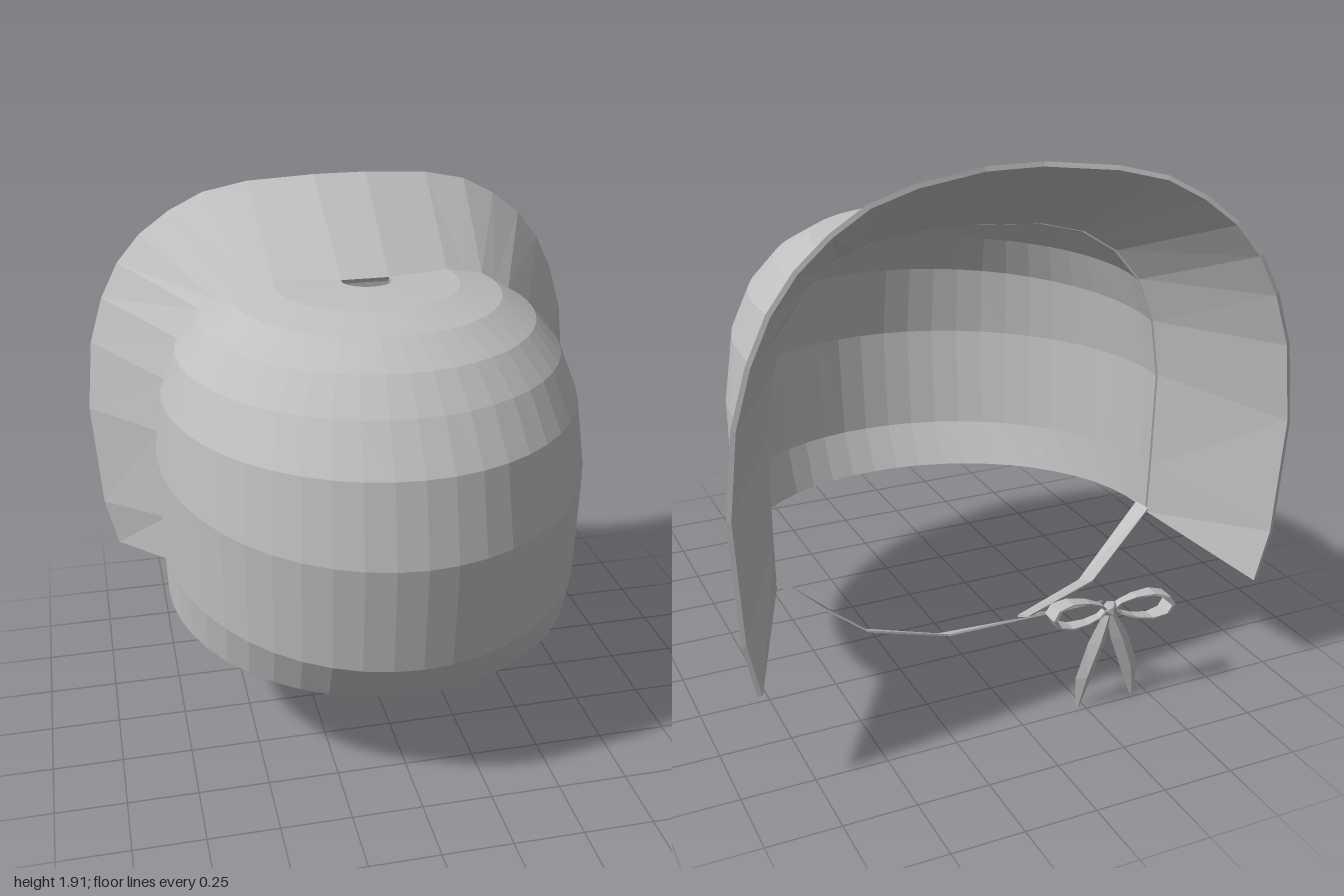
import * as THREE from 'three';

const V = (x, y, z) => new THREE.Vector3(x, y, z);

// Lofts a solid through equal cross-section rings, with flat facets
function loft(sections, closed = false) {
  const n = sections[0].length, m = sections.length;
  const tris = [];
  const quad = (a, b, c, d) => tris.push([a, b, c], [a, c, d]);
  for (let i = 0; i < (closed ? m : m - 1); i++) {
    const s = sections[i], t = sections[(i + 1) % m];
    for (let j = 0; j < n; j++) quad(s[j], s[(j + 1) % n], t[(j + 1) % n], t[j]);
  }
  if (!closed) {
    const s = sections[0], t = sections[m - 1];
    for (let j = 0; j < n / 2 - 1; j++) {
      quad(s[n - 1 - j], s[n - 2 - j], s[j + 1], s[j]);
      quad(t[j], t[j + 1], t[n - 2 - j], t[n - 1 - j]);
    }
  }
  // Turn the solid outward if its signed volume is negative
  let volume = 0;
  for (const [a, b, c] of tris) volume += a.dot(b.clone().cross(c));
  const pos = [];
  for (const [a, b, c] of tris)
    for (const p of volume < 0 ? [a, c, b] : [a, b, c]) pos.push(p.x, p.y, p.z);
  const g = new THREE.BufferGeometry();
  g.setAttribute('position', new THREE.Float32BufferAttribute(pos, 3));
  g.computeVertexNormals();
  return g;
}

// Crown rings: side radius, front radius, height at the front, height at the face opening
const RINGS = [
  [0.77, 0.77, 0.40, 0.49], [0.775, 0.865, 0.56, 0.68], [0.78, 0.91, 0.96, 1.04],
  [0.75, 0.855, 1.25, 1.25], [0.69, 0.74, 1.41, 1.41], [0.60, 0.63, 1.52, 1.52],
  [0.48, 0.49, 1.595, 1.595], [0.33, 0.33, 1.63, 1.63], [0.09, 0.09, 1.64, 1.635],
];
const CENTRE_Z = -0.13, OVERLAP = Math.PI / 12;

function crownPoint(k, angle, inset = 0) {
  const [rx, rz, yFront, yEdge] = RINGS[k];
  const s = Math.sin(angle), low = -Math.sin(OVERLAP) * rx;
  const shrink = k === RINGS.length - 1 ? 0 : inset;
  const z = s > 0 ? s * (rz - shrink) : s * (rx - shrink);
  const t = (rz - z) / (rz - low);
  const y = yFront + (yEdge - yFront) * t - inset * k / (RINGS.length - 1);
  return V(Math.cos(angle) * (rx - shrink), y, CENTRE_Z + z);
}

function crownGeometry() {
  const sections = [], steps = 28;
  for (let i = 0; i <= steps; i++) {
    const a = -OVERLAP + (Math.PI + 2 * OVERLAP) * i / steps;
    const outer = RINGS.map((_, k) => crownPoint(k, a));
    const inner = RINGS.map((_, k) => crownPoint(k, a, 0.018));
    sections.push([...outer, ...inner.reverse()]);
  }
  return loft(sections);
}

// Flared brim: each rim point is joined to a position along the crown edge
function brimGeometry() {
  const rim = [
    [0, 0.93, 0.37], [1, 0.975, 0.56], [2, 1.0, 0.98], [3, 0.97, 1.26], [4, 0.915, 1.44],
    [5, 0.845, 1.58], [5.5, 0.755, 1.69], [6, 0.64, 1.78], [6.5, 0.51, 1.85],
    [7, 0.345, 1.89], [8, 0.1, 1.913],
  ];
  const half = rim.map(([k, x, y]) => {
    const root = crownPoint(Math.floor(k), -OVERLAP)
      .lerp(crownPoint(Math.ceil(k), -OVERLAP), k % 1);
    const edge = V(x, y, -0.6 - 0.19 * (x - 0.1));
    const inward = V(-x, Math.min(0, 0.95 - y), -0.3).normalize().multiplyScalar(0.016);
    return [root, edge, edge.clone().add(inward), root.clone().add(inward)];
  });
  const mirrored = half.map(s => s.map(p => V(-p.x, p.y, p.z))).reverse();
  return loft([...half, ...mirrored]);
}

// Ribbon strip from pairs of edge points, given a small thickness
function ribbonGeometry(pairs, thickness = V(0, 0.008, 0)) {
  return loft(pairs.map(([a, b]) => [
    V(...a), V(...b), V(...b).add(thickness), V(...a).add(thickness),
  ]));
}

// Teardrop bow loop starting and ending at the knot
function loopGeometry(knot, dir, length, height, tilt) {
  const sections = [], steps = 10;
  for (let i = 0; i < steps; i++) {
    const a = 2 * Math.PI * i / steps;
    const u = (1 - Math.cos(a)) / 2;
    const w = 0.012 + 0.02 * u;
    const at = (scale, dz) => V(
      knot.x + dir * (0.012 + length * (0.5 + (u - 0.5) * scale)),
      knot.y + Math.sin(a) * height * scale * (0.55 + 0.45 * u) + tilt * u,
      knot.z + dz - 0.01 * u);
    sections.push([at(1, -w), at(1, w), at(0.88, w), at(0.88, -w)]);
  }
  return loft(sections, true);
}

// Tapered tail with a diamond section
function tailGeometry(points) {
  return loft(points.map(([x, y, z, hx, hz]) => [
    V(x - hx, y, z), V(x, y, z + hz), V(x + hx, y, z), V(x, y, z - hz),
  ]));
}

export function createModel() {
  const group = new THREE.Group();
  const cloth = new THREE.MeshStandardMaterial({ color: 0xbfbfbf });
  cloth.name = 'greyCloth';
  const add = (name, geometry, parent = group) => {
    const mesh = new THREE.Mesh(geometry, cloth);
    mesh.name = name;
    parent.add(mesh);
    return mesh;
  };

  add('crown', crownGeometry());
  add('brim', brimGeometry());

  // Chin ties, from each lower corner round to the off-centre bow
  for (const [name, s] of [['leftTie', 1], ['rightTie', -1]]) {
    add(name, ribbonGeometry([
      [[s * 0.72, 0.50, -0.27], [s * 0.73, 0.50, -0.34]],
      [[s * 0.44, 0.26, -0.34], [s * 0.44, 0.305, -0.44]],
      [[s * 0.16, 0.20, -0.39], [s * 0.16, 0.245, -0.48]],
      [[-0.33, 0.365, -0.69], [-0.32, 0.39, -0.71]],
    ]));
  }

  // Bow
  const bow = new THREE.Group();
  bow.name = 'bow';
  group.add(bow);
  const knot = V(-0.335, 0.375, -0.735);
  const centre = add('knot', new THREE.IcosahedronGeometry(0.03, 0), bow);
  centre.position.copy(knot);
  centre.scale.set(1, 1, 0.9);
  add('rightLoop', loopGeometry(knot, -1, 0.23, 0.062, -0.02), bow);
  add('leftLoop', loopGeometry(knot, 1, 0.23, 0.062, 0.025), bow);
  for (const [name, x1, x2, x3] of [
    ['rightTail', -0.385, -0.43, -0.447], ['leftTail', -0.295, -0.25, -0.228],
  ]) {
    add(name, tailGeometry([
      [-0.335, 0.37, -0.73, 0.015, 0.012], [x1, 0.25, -0.725, 0.035, 0.024],
      [x2, 0.12, -0.725, 0.034, 0.018], [x3, 0.004, -0.725, 0.008, 0.005],
    ]), bow);
  }
  return group;
}
